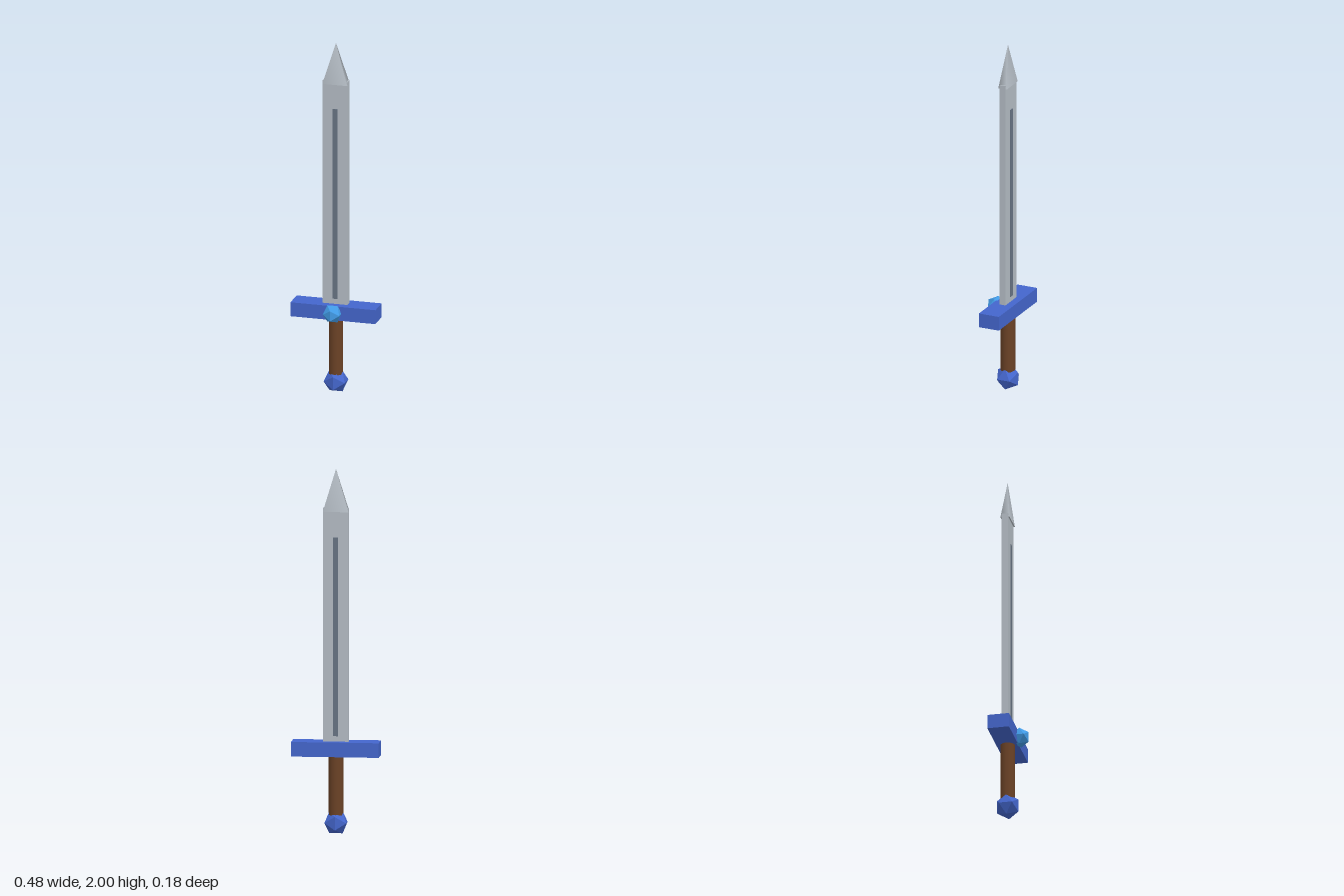
import * as THREE from 'three';

const material = (name, color, flatShading = false) => {
  const m = new THREE.MeshStandardMaterial({ color, flatShading });
  m.name = name;
  return m;
};

export function createModel() {
  const steel = material('steel', 0xb4bcc4);
  const darkSteel = material('dark steel', 0x687484);
  const blue = material('royal blue', 0x4466cc, true);
  const gemBlue = material('gem blue', 0x44a0ee, true);
  const leather = material('brown leather', 0x6b4226);

  const sword = new THREE.Group();
  sword.name = 'sword';
  const add = (name, geometry, mat, y, z = -0.03) => {
    const mesh = new THREE.Mesh(geometry, mat);
    mesh.name = name;
    mesh.position.set(0, y, z);
    sword.add(mesh);
    return mesh;
  };
  // Box spanning y0 to y1
  const addBar = (name, width, depth, y0, y1, mat) =>
    add(name, new THREE.BoxGeometry(width, y1 - y0, depth), mat, (y0 + y1) / 2);

  // Blade with a raised central strip showing on both faces
  addBar('blade', 0.14, 0.036, 0.5, 1.785, steel);
  addBar('fuller', 0.028, 0.044, 0.535, 1.625, darkSteel);

  // Four-sided tip, flattened front to back
  const tip = new THREE.ConeGeometry(0.07 * Math.SQRT2, 0.235, 4);
  tip.rotateY(Math.PI / 4).scale(1, 1, 0.05 / 0.14);
  add('bladeTip', tip, steel, 1.8825);

  // Hilt
  addBar('crossguard', 0.48, 0.12, 0.425, 0.505, blue);
  add('grip', new THREE.CylinderGeometry(0.04, 0.04, 0.36, 12), leather, 0.265);
  add('pommel', new THREE.IcosahedronGeometry(0.07), blue, 0.0595);
  add('guardGem', new THREE.IcosahedronGeometry(0.055), gemBlue, 0.465, 0.04);

  return sword;
}
